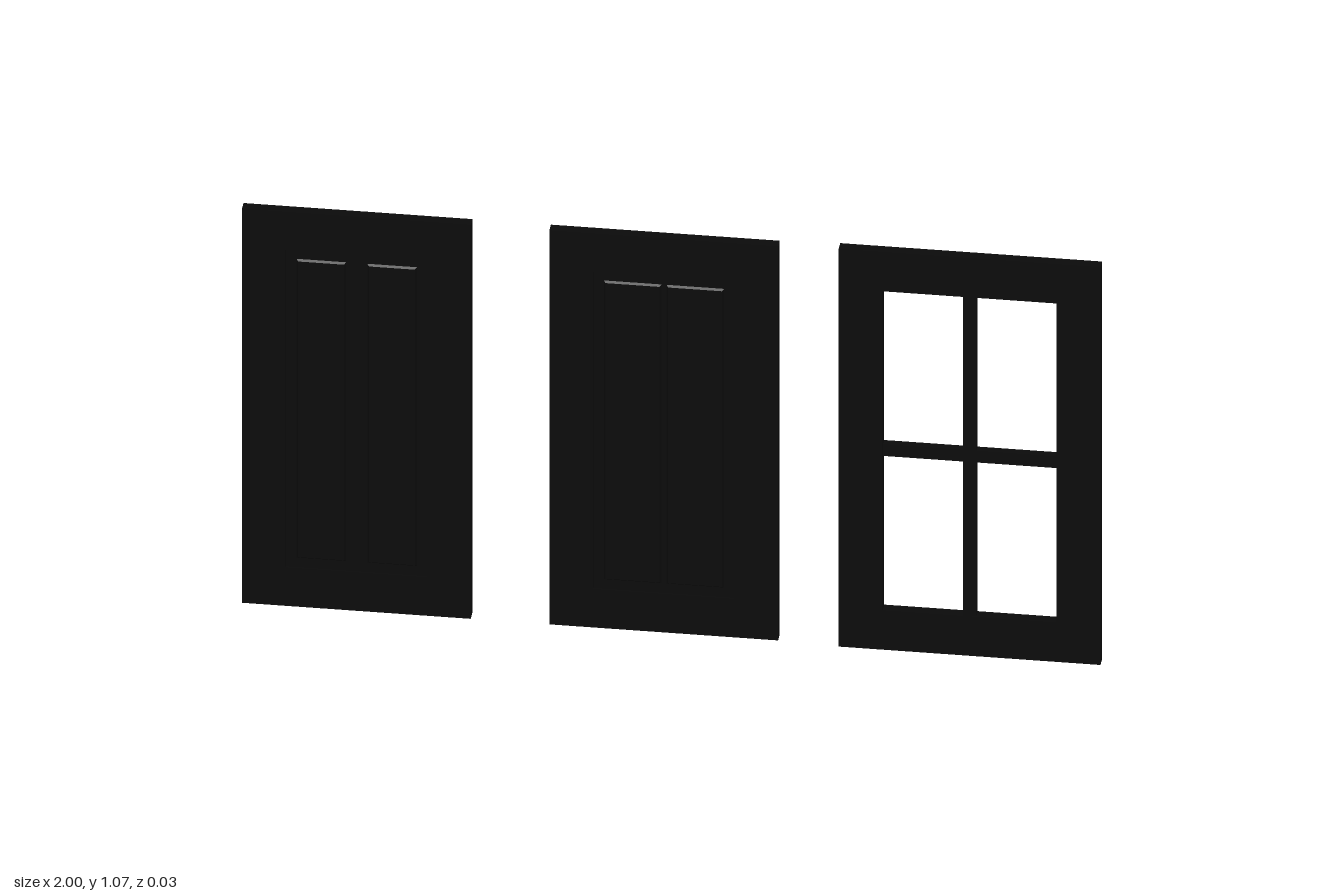
import * as THREE from 'three';

const material = new THREE.MeshStandardMaterial({ color: 0x0a0a0a });
const HALF = 0.0135; // half thickness of every leaf

function add(parent, name, geometry, x = 0, y = 0, z = 0) {
  const mesh = new THREE.Mesh(geometry, material);
  mesh.name = name;
  mesh.position.set(x, y, z);
  parent.add(mesh);
  return mesh;
}

function rectangle(target, w, h) {
  target.moveTo(-w / 2, -h / 2);
  target.lineTo(w / 2, -h / 2);
  target.lineTo(w / 2, h / 2);
  target.lineTo(-w / 2, h / 2);
  target.closePath();
  return target;
}

// Rectangular frame, centred in x and y, starting at z = 0
function frame(w, h, innerW, innerH, depth) {
  const shape = rectangle(new THREE.Shape(), w, h);
  shape.holes.push(rectangle(new THREE.Path(), innerW, innerH));
  return new THREE.ExtrudeGeometry(shape, { depth, bevelEnabled: false });
}

// Flat panel whose front edges slope inwards
function raisedPanel(w, h, depth, slope) {
  const geometry = new THREE.BoxGeometry(w, h, depth);
  const p = geometry.attributes.position;
  for (let i = 0; i < p.count; i++) {
    if (p.getZ(i) > 0) {
      p.setX(i, p.getX(i) - Math.sign(p.getX(i)) * slope);
      p.setY(i, p.getY(i) - Math.sign(p.getY(i)) * slope);
    }
  }
  geometry.computeVertexNormals();
  return geometry;
}

// Solid leaf with a shallow recess in front holding two raised panels
function panelLeaf(name, x, gap) {
  const leaf = new THREE.Group();
  leaf.name = name;
  leaf.position.set(x, 0.5325, 0);
  const w = 0.533, h = 1.055, innerW = 0.33, innerH = 0.85, floor = 0.0065;
  add(leaf, 'backBoard', new THREE.BoxGeometry(w, h, floor + HALF), 0, 0, (floor - HALF) / 2);
  add(leaf, 'frontFrame', frame(w, h, innerW, innerH, HALF - floor), 0, 0, floor);
  const border = 0.025;
  const panelW = (innerW - 2 * border - gap) / 2;
  for (const side of [-1, 1]) {
    add(leaf, side > 0 ? 'leftPanel' : 'rightPanel',
      raisedPanel(panelW, innerH - 2 * border, 0.005, 0.004),
      side * (gap + panelW) / 2, 0, floor + 0.0025);
  }
  return leaf;
}

// Open frame with crossing glazing bars
function windowLeaf(x) {
  const leaf = new THREE.Group();
  leaf.name = 'windowLeaf';
  leaf.position.set(x, 0.5325, 0);
  const innerW = 0.405, innerH = 0.855;
  add(leaf, 'windowFrame', frame(0.61, 1.065, innerW, innerH, HALF * 2), 0, 0, -HALF);
  add(leaf, 'uprightBar', new THREE.BoxGeometry(0.031, innerH, 0.02));
  add(leaf, 'crossBar', new THREE.BoxGeometry(innerW, 0.031, 0.0198));
  return leaf;
}

export function createModel() {
  const group = new THREE.Group();
  group.name = 'cabinetDoors';
  group.add(panelLeaf('widePanelDoor', -0.7335, 0.05));
  group.add(panelLeaf('narrowGrooveDoor', -0.0175, 0.012));
  group.add(windowLeaf(0.695));
  return group;
}
